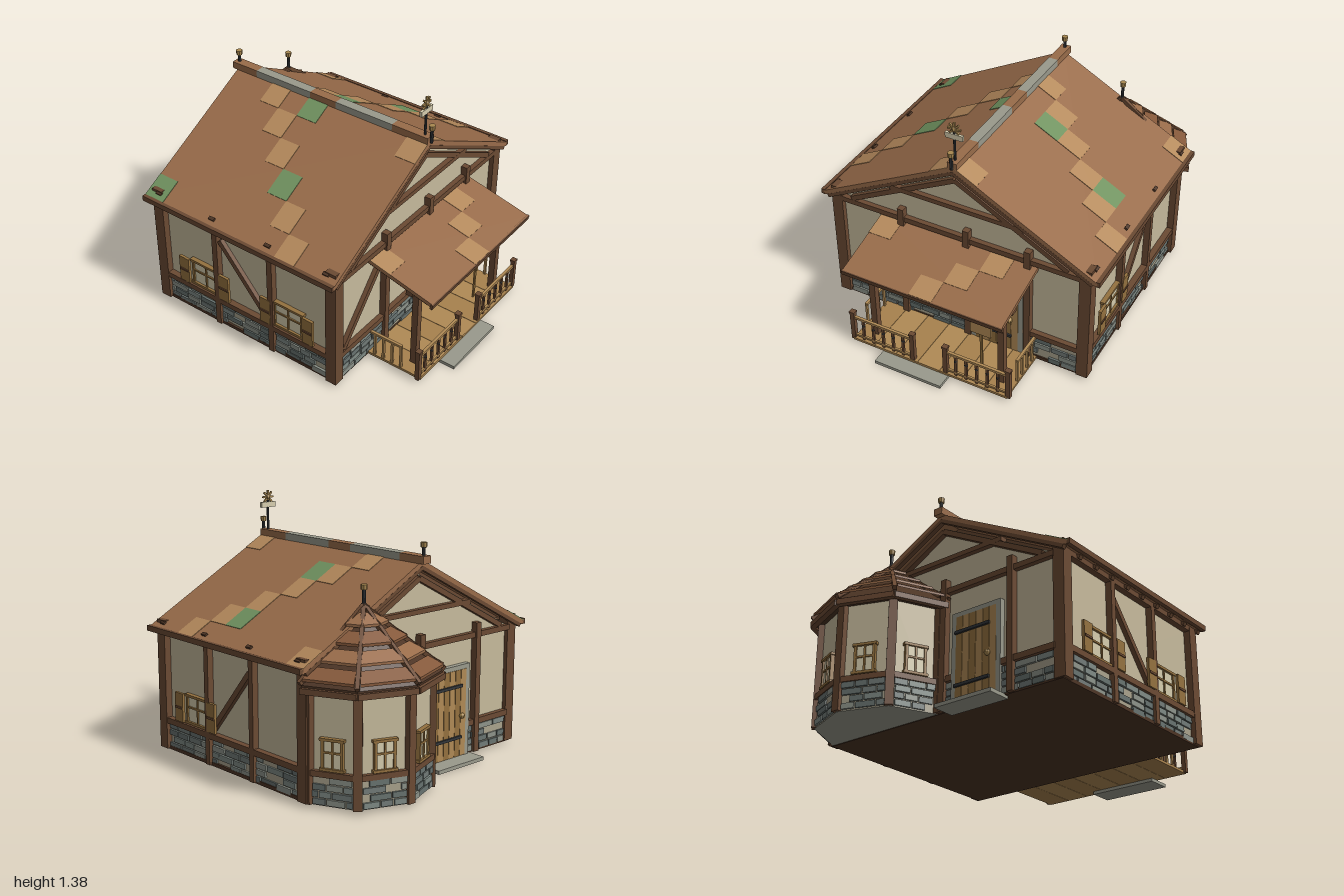
import * as THREE from 'three';
import { ConvexGeometry } from 'three/addons/geometries/ConvexGeometry.js';

const C = { timber: 0x6b4a33, dark: 0x4c3424, plaster: 0xc6ba9c, mortar: 0xa9a28c, roof: 0x996c4a, light: 0xb58a5c,
  moss: 0x70925f, grey: 0x9a9a8c, iron: 0x33363a, brass: 0xa88850, wood: 0xb08a55, shutter: 0x94713f, glass: 0xd6cdae };
const mats = {};
const mat = c => mats[c] ??= new THREE.MeshStandardMaterial({ color: c, flatShading: true });
let seed = 7;
const rnd = () => (seed = (seed * 16807) % 2147483647) / 2147483647;
const V = (x, y, z) => new THREE.Vector3(x, y, z);

function add(parent, name, geo, color, x = 0, y = 0, z = 0) {
  const m = new THREE.Mesh(geo, mat(color));
  m.name = name;
  m.position.set(x, y, z);
  parent.add(m);
  return m;
}
const box = (p, name, c, w, h, d, x, y, z) => add(p, name, new THREE.BoxGeometry(w, h, d), c, x, y, z);
// Square beam between two points
function beam(p, name, c, a, b, w, h = w) {
  const m = box(p, name, c, w, h, a.distanceTo(b), 0, 0, 0);
  m.position.copy(a).lerp(b, 0.5);
  const q = new THREE.Object3D();
  q.position.copy(m.position);
  q.lookAt(b);
  m.quaternion.copy(q.quaternion);
}
// Group whose local +z points out of a wall
function wall(p, name, x, z, yaw) {
  const g = new THREE.Group();
  g.name = name;
  g.position.set(x, 0, z);
  g.rotation.y = yaw;
  p.add(g);
  return g;
}
// Four staggered courses of stone over a mortar bed
function stones(p, len) {
  box(p, 'mortarBed', C.mortar, len, 0.15, 0.016, 0, 0.095, 0);
  const tones = [0x7f8a85, 0x727b78, 0x8d938a, 0x687370];
  for (let r = 0; r < 4; r++) {
    let x = -len / 2 + 0.005 - (r % 2) * 0.04;
    while (x < len / 2 - 0.02) {
      const w = 0.07 + rnd() * 0.06, a = Math.max(x, -len / 2), b = Math.min(x + w, len / 2);
      if (rnd() > 0.1 && b - a > 0.02)
        box(p, 'stone', tones[Math.floor(rnd() * 4)], b - a - 0.008, 0.03, 0.016, (a + b) / 2, 0.04 + r * 0.037, 0.008 + rnd() * 0.005);
      x += w;
    }
  }
}
function windowUnit(p, x, w, shutters) {
  const y = 0.283, h = 0.15;
  box(p, 'windowPane', C.glass, w, h, 0.01, x, y, 0.008);
  for (const s of [-1, 1]) {
    box(p, 'windowFrame', C.shutter, 0.014, h, 0.024, x + s * w / 2, y, 0.01);
    box(p, 'windowFrame', C.shutter, w + 0.03, 0.014, 0.028, x, y + s * h / 2, 0.012);
    if (shutters) {
      const sx = x + s * (w / 2 + 0.05);
      box(p, 'shutter', C.shutter, 0.068, 0.16, 0.016, sx, y, 0.03);
      box(p, 'shutterBatten', C.timber, 0.06, 0.012, 0.006, sx, y, 0.04);
    }
  }
  box(p, 'windowBar', C.shutter, 0.01, h, 0.02, x, y, 0.01);
  box(p, 'windowBar', C.shutter, w, 0.01, 0.02, x, y + 0.01, 0.01);
}
function door(p, x) {
  for (const s of [-1, 1]) box(p, 'doorJamb', C.grey, 0.03, 0.49, 0.035, x + s * 0.14, 0.265, 0.012);
  box(p, 'doorLintel', C.grey, 0.31, 0.025, 0.035, x, 0.515, 0.012);
  for (let i = 0; i < 6; i++)
    box(p, 'doorPlank', i % 2 ? C.wood : C.shutter, 0.04, 0.48, 0.03, x - 0.1075 + i * 0.043, 0.262, 0.016);
  for (const y of [0.13, 0.415]) box(p, 'hinge', C.iron, 0.22, 0.016, 0.012, x - 0.02, y, 0.036);
  add(p, 'doorKnob', new THREE.SphereGeometry(0.016, 10, 8), C.brass, x + 0.085, 0.25, 0.045);
}
function finial(p, x, y, z, h) {
  add(p, 'finialPost', new THREE.CylinderGeometry(0.009, 0.009, h, 8), C.iron, x, y + h / 2, z);
  add(p, 'finialKnob', new THREE.CylinderGeometry(0.018, 0.016, 0.026, 8), C.brass, x, y + h, z);
}

function buildBody(g) {
  box(g, 'floor', C.dark, 1.2, 0.02, 1.5, -0.02, 0.025, 0);
  box(g, 'plasterWalls', C.plaster, 1.17, 0.66, 1.46, -0.02, 0.36, 0);
  for (const x of [-0.595, 0.56]) for (const z of [-0.735, 0.735]) box(g, 'cornerPost', C.timber, 0.065, 0.72, 0.065, x, 0.38, z);
  // Long walls
  for (const s of [1, -1]) {
    const w = wall(g, s > 0 ? 'frontWall' : 'backWall', 0, s * 0.73, s > 0 ? 0 : Math.PI);
    const in1 = wall(w, 'stonePlinth', -0.02 * s, 0, 0);
    stones(in1, 1.12);
    for (const [y, h] of [[0.182, 0.032], [0.685, 0.035]]) box(w, 'wallBeam', C.timber, 1.17, h, 0.05, -0.02 * s, y, 0.01);
    for (const x of [-0.205, 0.165]) box(w, 'wallPost', C.timber, 0.034, 0.66, 0.05, x * s, 0.35, 0.01);
    beam(w, 'brace', C.timber, V(-0.18 * s, 0.585, 0.01), V(0.145 * s, 0.205, 0.01), 0.03);
    windowUnit(w, 0.27 * s, 0.18, true);
    if (s > 0) windowUnit(w, -0.295, 0.18, true);
  }
  // Gable walls
  for (const s of [1, -1]) {
    const w = wall(g, s > 0 ? 'porchGable' : 'bayGable', s > 0 ? 0.565 : -0.605, 0, s * Math.PI / 2);
    stones(w, 1.4);
    const tri = new THREE.Shape([[-0.7, 0.69], [0.7, 0.69], [0, 1.06]].map(a => new THREE.Vector2(...a)));
    add(w, 'gablePlaster', new THREE.ExtrudeGeometry(tri, { depth: 0.02, bevelEnabled: false }), C.plaster, 0, 0, -0.02);
    for (const [y, h, l] of [[0.188, 0.032, 1.42], [0.674, 0.03, 1.42], [0.862, 0.026, 0.78]])
      box(w, 'gableBeam', C.timber, l, h, 0.045, 0, y, 0.006);
    for (const k of [-1, 1]) beam(w, 'gableRafter', C.timber, V(0, 1.035, 0.008), V(k * 0.64, 0.695, 0.008), 0.04, 0.028);
    for (const x of s > 0 ? [-0.33, 0.06, 0.415] : [0.02, 0.45])
      box(w, 'gablePost', C.timber, 0.036, 0.72, 0.05, x, 0.38, 0.012);
    if (s > 0) {
      beam(w, 'brace', C.timber, V(-0.69, 0.21, 0.01), V(-0.35, 0.6, 0.01), 0.03);
      beam(w, 'brace', C.timber, V(0.04, 0.21, 0.01), V(-0.31, 0.6, 0.01), 0.03);
    }
    door(w, 0.235);
  }
  box(g, 'sideStep', C.grey, 0.13, 0.02, 0.35, -0.665, 0.01, 0.235);
}

function buildRoof(g) {
  const L = 0.917, cw = 0.126, ch = L / 6;
  const patches = {
    1: [[2, 0], [3, 1], [4, 2], [6, 4], [7, 5], [9, 0], [4, 0, 1], [5, 3, 1], [0, 5, 1]],
    '-1': [[7, 5], [6, 4], [5, 3], [4, 2], [3, 1], [2, 0], [9, 0], [0, 5], [5, 4, 1], [4, 1, 1]] };
  for (const s of [1, -1]) {
    const side = wall(g, s > 0 ? 'frontRoof' : 'backRoof', 0, 0, s > 0 ? 0 : Math.PI);
    const r = new THREE.Group();
    r.position.y = 1.13;
    r.rotation.x = 0.488;
    side.add(r);
    box(r, 'roofSlab', C.roof, 1.26, 0.024, L, -0.02 * s, -0.012, L / 2);
    for (const [c, row, moss] of patches[s])
      box(r, 'tilePatch', moss ? C.moss : C.light, cw, 0.004, ch, s * (-0.65 + (c + 0.5) * cw), 0.001, (row + 0.5) * ch);
    for (let i = 0; i < 10; i++) box(r, 'rafter', C.timber, 0.026, 0.02, L - 0.03, -0.638 * s + i * 0.1373 * s, -0.034, L / 2);
    for (const x of [-0.575, -0.205, 0.165, 0.535]) box(r, 'roofPeg', C.dark, 0.035, 0.012, 0.018, x * s, 0.005, L - 0.05);
    box(side, 'eaveBeam', C.timber, 1.26, 0.03, 0.022, -0.02 * s, 0.695, 0.81);
  }
  // Ridge cap of alternating pieces
  const cuts = [-0.68, -0.51, -0.14, 0.03, 0.39, 0.61];
  for (let i = 0; i < 5; i++)
    box(g, 'ridgeCap', i % 2 ? C.grey : C.roof, cuts[i + 1] - cuts[i], 0.04, 0.055, (cuts[i] + cuts[i + 1]) / 2, 1.135, 0);
  finial(g, -0.655, 1.15, 0, 0.06);
  finial(g, 0.615, 1.12, 0, 0.09);
  // Weathervane
  add(g, 'vanePole', new THREE.CylinderGeometry(0.007, 0.007, 0.2, 8), C.iron, 0.575, 1.22, 0);
  box(g, 'vaneBoard', C.glass, 0.015, 0.03, 0.1, 0.575, 1.295, 0);
  for (let i = 0; i < 4; i++) box(g, 'vaneStar', C.brass, 0.01, 0.075, 0.01, 0.575, 1.338, 0).rotation.x = i * Math.PI / 4;
  add(g, 'vaneHub', new THREE.SphereGeometry(0.015, 8, 6), C.brass, 0.575, 1.338, 0);
}

function buildBay(g) {
  const cx = -0.62, cz = -0.38;
  const at = (k, s, y) => V(cx - 0.38 * s * Math.sin(k * Math.PI / 4), y, cz + 0.42 * s * Math.cos(k * Math.PI / 4));
  const ks = [0, 1, 2, 3, 4], W = 0.85;
  add(g, 'bayWalls', new ConvexGeometry(ks.flatMap(k => [at(k, W, 0.03), at(k, W, 0.6)])), C.plaster);
  add(g, 'bayFloor', new ConvexGeometry(ks.flatMap(k => [at(k, W + 0.02, 0.018), at(k, W + 0.02, 0.03)])), C.grey);
  const roofY = s => 0.62 + (1 - s) * 0.32;
  add(g, 'bayRoofCore', new ConvexGeometry([...ks.flatMap(k => [at(k, 0.97, 0.59), at(k, 0.97, 0.62)]), V(cx, 0.94, cz)]), C.dark);
  for (const k of ks) {
    const p = at(k, W, 0);
    box(g, 'bayPost', C.timber, 0.045, 0.58, 0.045, p.x, 0.31, p.z).rotation.y = k * Math.PI / 4;
    beam(g, 'bayHip', C.timber, at(k, 1, 0.63), V(cx, 0.95, cz), 0.022);
    if (k === 4) break;
    // One facet: plinth, beams, window and four courses of tiles
    const a = at(k, W, 0), b = at(k + 1, W, 0), d = b.clone().sub(a), len = d.length();
    const f = wall(g, 'bayFacet', (a.x + b.x) / 2, (a.z + b.z) / 2, Math.atan2(d.z, -d.x));
    stones(f, len - 0.03);
    box(f, 'bayBeam', C.timber, len, 0.03, 0.04, 0, 0.182, 0.004);
    windowUnit(f, 0, 0.1, false);
    beam(g, 'bayEave', C.timber, at(k, 0.98, 0.595), at(k + 1, 0.98, 0.595), 0.03);
    for (let t = 0; t < 4; t++) {
      const s0 = 1 - t * 0.23, s1 = s0 - 0.2;
      const edge = (s, y) => [0.05, 0.95].flatMap(u => {
        const q = at(k, s, y).lerp(at(k + 1, s, y), u);
        return [q, q.clone().setY(y + 0.014)];
      });
      add(g, 'bayTile', new ConvexGeometry([...edge(s0, roofY(s0) + 0.022), ...edge(s1, roofY(s1) + 0.002)]), t % 2 ? C.roof : 0x85593b);
    }
  }
  finial(g, cx, 0.93, cz, 0.11);
}

function buildPorch(g) {
  for (let i = 0; i < 7; i++)
    box(g, 'deckPlank', i % 2 ? C.wood : 0xa8824e, 0.34, 0.014, 0.132, 0.745, 0.025, -0.402 + i * 0.134);
  box(g, 'porchStep', C.grey, 0.14, 0.018, 0.4, 0.93, 0.009, 0.08);
  for (const z of [-0.39, 0.38]) box(g, 'porchPost', C.timber, 0.036, 0.53, 0.036, 0.818, 0.285, z);
  box(g, 'porchBeam', C.timber, 0.04, 0.03, 0.92, 0.818, 0.543, 0);
  // Lean-to roof with lighter tiles
  const r = new THREE.Group();
  r.name = 'porchRoof';
  r.position.set(0.57, 0.632, 0);
  r.rotation.z = -0.245;
  g.add(r);
  box(r, 'porchSlab', C.roof, 0.4, 0.022, 0.93, 0.2, 0, 0);
  for (const [c, row] of [[1, 0], [2, 1], [3, 2], [6, 0]])
    box(r, 'tilePatch', C.light, 0.133, 0.004, 0.133, 0.068 + row * 0.133, 0.011, -0.398 + c * 0.133);
  for (let i = 0; i < 6; i++) box(r, 'porchRafter', C.timber, 0.37, 0.018, 0.022, 0.19, -0.019, -0.44 + i * 0.176);
  box(r, 'porchFascia', C.timber, 0.014, 0.03, 0.94, 0.4, -0.004, 0);
  // Railings
  for (const s of [-1, 1]) {
    for (const z of [0.1, 0.47]) {
      box(g, 'railPost', C.timber, 0.024, 0.19, 0.026, 0.9, 0.115, s * z);
      box(g, 'railPostCap', C.timber, 0.03, 0.012, 0.032, 0.9, 0.205, s * z);
    }
    box(g, 'frontRail', C.wood, 0.016, 0.014, 0.37, 0.9, 0.172, s * 0.285);
    box(g, 'frontRail', C.wood, 0.012, 0.012, 0.37, 0.9, 0.05, s * 0.285);
    for (let i = 0; i < 5; i++) {
      box(g, 'baluster', C.timber, 0.012, 0.14, 0.014, 0.9, 0.1, s * (0.16 + i * 0.062));
      add(g, 'balusterBead', new THREE.SphereGeometry(0.01, 6, 5), C.iron, 0.9, 0.13, s * (0.16 + i * 0.062));
    }
    box(g, 'sideRail', C.wood, 0.2, 0.014, 0.016, 0.69, 0.172, s * 0.46);
    for (let i = 0; i < 4; i++) box(g, 'sideBaluster', C.wood, 0.014, 0.14, 0.012, 0.62 + i * 0.055, 0.1, s * 0.46);
  }
  // Notice board beside the door
  box(g, 'noticePost', C.shutter, 0.01, 0.37, 0.014, 0.785, 0.215, -0.25);
  box(g, 'noticeBoard', C.wood, 0.014, 0.08, 0.12, 0.788, 0.31, -0.25);
}

export function createModel() {
  const g = new THREE.Group();
  g.name = 'timberCottage';
  for (const [name, build] of [['body', buildBody], ['mainRoof', buildRoof], ['bay', buildBay], ['porch', buildPorch]]) {
    const part = new THREE.Group();
    part.name = name;
    build(part);
    g.add(part);
  }
  return g;
}
